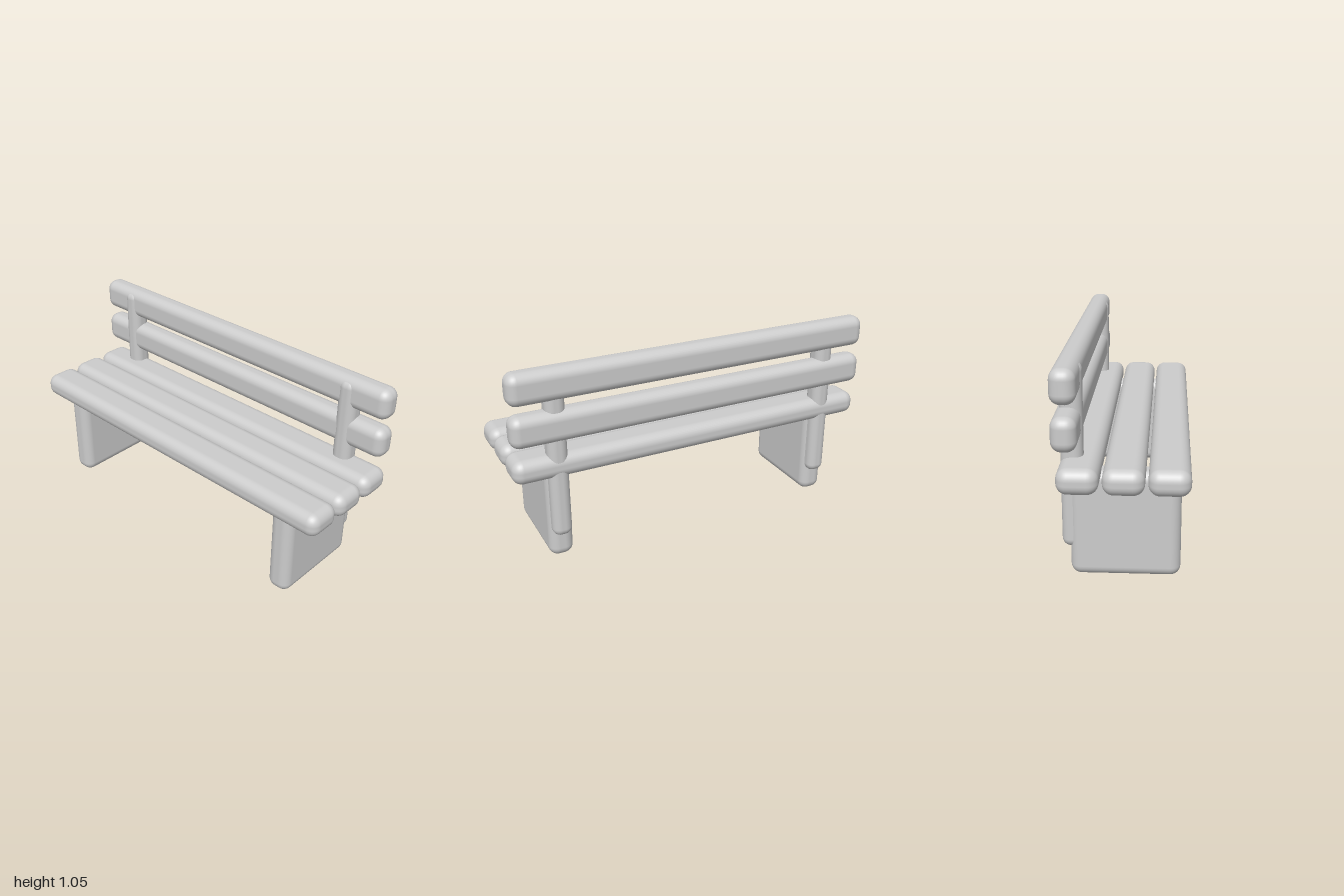
import * as THREE from 'three';
import { RoundedBoxGeometry } from 'three/addons/geometries/RoundedBoxGeometry.js';

export function createModel() {
  const bench = new THREE.Group();
  bench.name = 'bench';
  const stone = new THREE.MeshStandardMaterial({ color: 0xcccccc });
  stone.name = 'pale grey';

  // Rounded block given by its extents along x, y and z
  function block(name, [x0, x1], [y0, y1], [z0, z1], radius) {
    const geometry = new RoundedBoxGeometry(x1 - x0, y1 - y0, z1 - z0, 4, radius);
    const mesh = new THREE.Mesh(geometry, stone);
    mesh.name = name;
    mesh.position.set((x0 + x1) / 2, (y0 + y1) / 2, (z0 + z1) / 2);
    bench.add(mesh);
  }

  // Seat: three slats from front to back
  for (const z of [0.215, 0.009, -0.197]) {
    block('seatSlat', [-1, 1], [0.473, 0.598], [z - 0.096, z + 0.096], 0.053);
  }

  // Backrest: two slats
  for (const y of [0.754, 0.969]) {
    block('backSlat', [-1, 1], [y - 0.082, y + 0.082], [-0.31, -0.191], 0.05);
  }

  // Slab legs and the posts that carry the backrest
  for (const [side, x] of [['left', 0.769], ['right', -0.776]]) {
    block(side + 'Leg', [x - 0.064, x + 0.064], [0.003, 0.533], [-0.25, 0.27], 0.05);
    block(side + 'BackPost', [x - 0.051, x + 0.051], [0.142, 1.037], [-0.29, -0.184], 0.042);
  }

  return bench;
}
